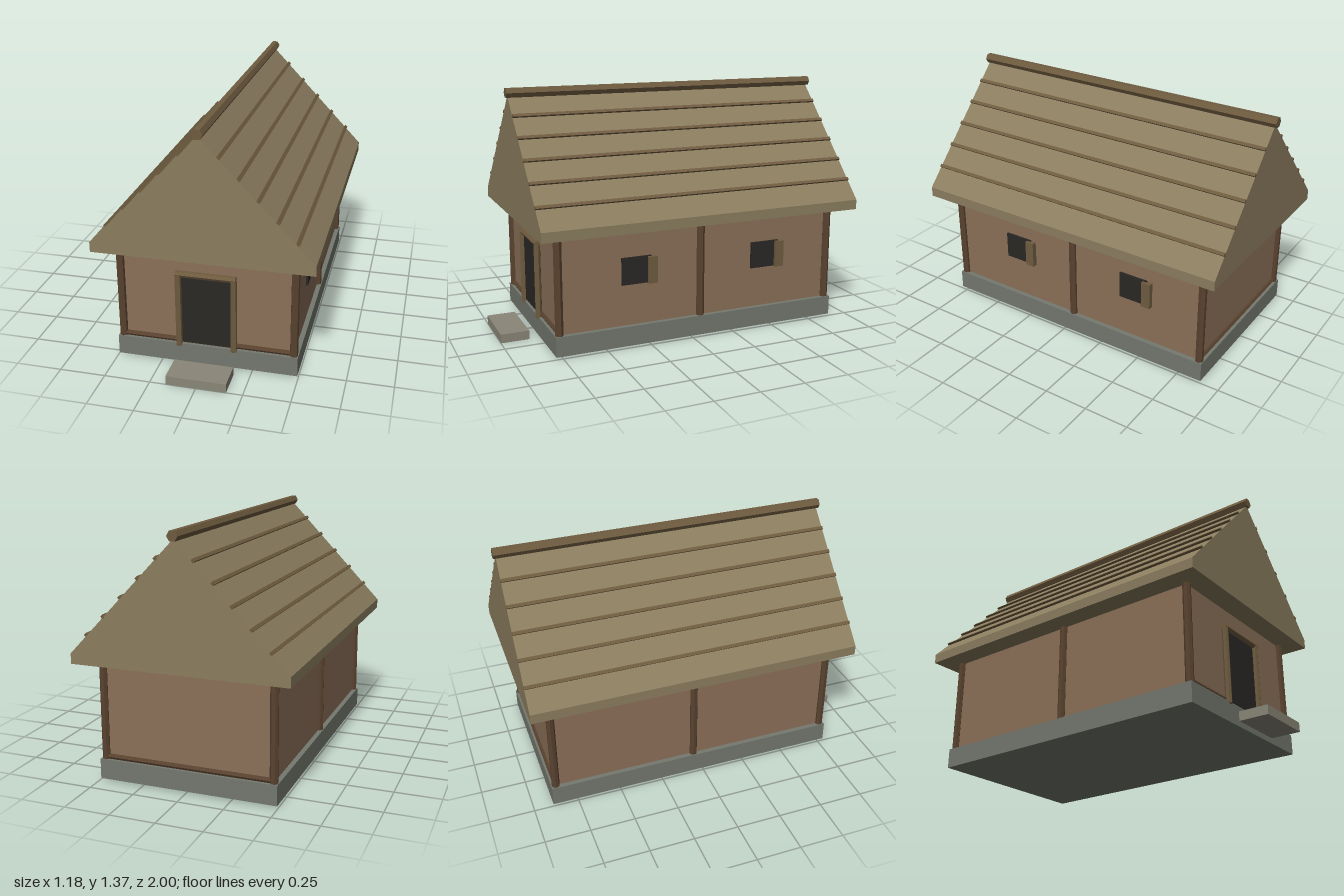
import * as THREE from 'three';

const mat = (color) => new THREE.MeshStandardMaterial({ color, flatShading: true });

export function createModel() {
  const house = new THREE.Group();
  house.name = 'thatchedHouse';
  const stone = mat(0x74786e), slab = mat(0x8a8678), clay = mat(0x8b7058), thatch = mat(0x8b7d5f);
  const timber = mat(0x5a432f), frame = mat(0x6f5c40), dark = mat(0x2a2825);

  const add = (name, geometry, material, x = 0, y = 0, z = 0) => {
    const mesh = new THREE.Mesh(geometry, material);
    mesh.name = name;
    mesh.position.set(x, y, z);
    house.add(mesh);
    return mesh;
  };
  // Box given by its lower and upper corners
  const block = (name, material, a, b) =>
    add(name, new THREE.BoxGeometry(b[0] - a[0], b[1] - a[1], b[2] - a[2]), material,
      (a[0] + b[0]) / 2, (a[1] + b[1]) / 2, (a[2] + b[2]) / 2);
  const log = (name, material, r, length, sides, x, y, z) =>
    add(name, new THREE.CylinderGeometry(r, r, length, sides), material, x, y, z);

  // Base, front step and clay walls
  block('foundation', stone, [-0.495, 0.01, -0.892], [0.495, 0.12, 0.785]);
  block('frontStep', slab, [-0.162, 0, 0.84], [0.162, 0.05, 1]);
  block('walls', clay, [-0.468, 0.12, -0.865], [0.468, 0.67, 0.758]);

  // Corner and middle posts
  for (const x of [-0.47, 0.47])
    for (const z of [0.76, -0.054, -0.866]) log('post', timber, 0.0225, 0.56, 7, x, 0.39, z);

  // Sill logs along the two gable walls
  for (const z of [0.76, -0.867])
    log('sill', timber, 0.015, 0.91, 6, 0, 0.133, z).rotation.z = Math.PI / 2;

  // Doorway
  block('doorOpening', dark, [-0.14, 0.13, 0.74], [0.14, 0.53, 0.777]);
  for (const x of [-0.15, 0.15]) log('doorPost', frame, 0.018, 0.425, 7, x, 0.322, 0.78);
  log('doorLintel', frame, 0.018, 0.324, 6, 0, 0.537, 0.778).rotation.z = Math.PI / 2;

  // Windows with open shutters, on the left wall only
  for (const z of [0.31, -0.468]) {
    block('windowOpening', dark, [0.45, 0.35, z - 0.07], [0.48, 0.5, z + 0.1]);
    block('shutter', frame, [0.468, 0.347, z - 0.1], [0.496, 0.496, z - 0.047]);
  }

  // Solid thatched roof
  const gable = new THREE.Shape([[-0.588, 0.66], [0.588, 0.66], [0.588, 0.715], [0, 1.33], [-0.588, 0.715]]
    .map(([x, y]) => new THREE.Vector2(x, y)));
  add('roof', new THREE.ExtrudeGeometry(gable, { depth: 1.86, bevelEnabled: false }), thatch, 0, 0, -0.985);

  // Battens along both slopes
  const slope = Math.atan2(0.615, 0.588);
  for (const side of [-1, 1])
    for (let i = 1; i <= 5; i++) {
      const x = 0.0985 * i;
      add('batten', new THREE.BoxGeometry(0.018, 0.018, 1.86), frame,
        side * x, 1.334 - x * Math.tan(slope), -0.055).rotation.z = -side * slope;
    }

  // Ridge log, with corners pointing sideways
  const ridge = new THREE.CylinderGeometry(0.029, 0.029, 1.886, 6);
  ridge.rotateY(Math.PI / 2).rotateX(Math.PI / 2);
  add('ridgeLog', ridge, frame, 0, 1.345, -0.057);

  return house;
}
